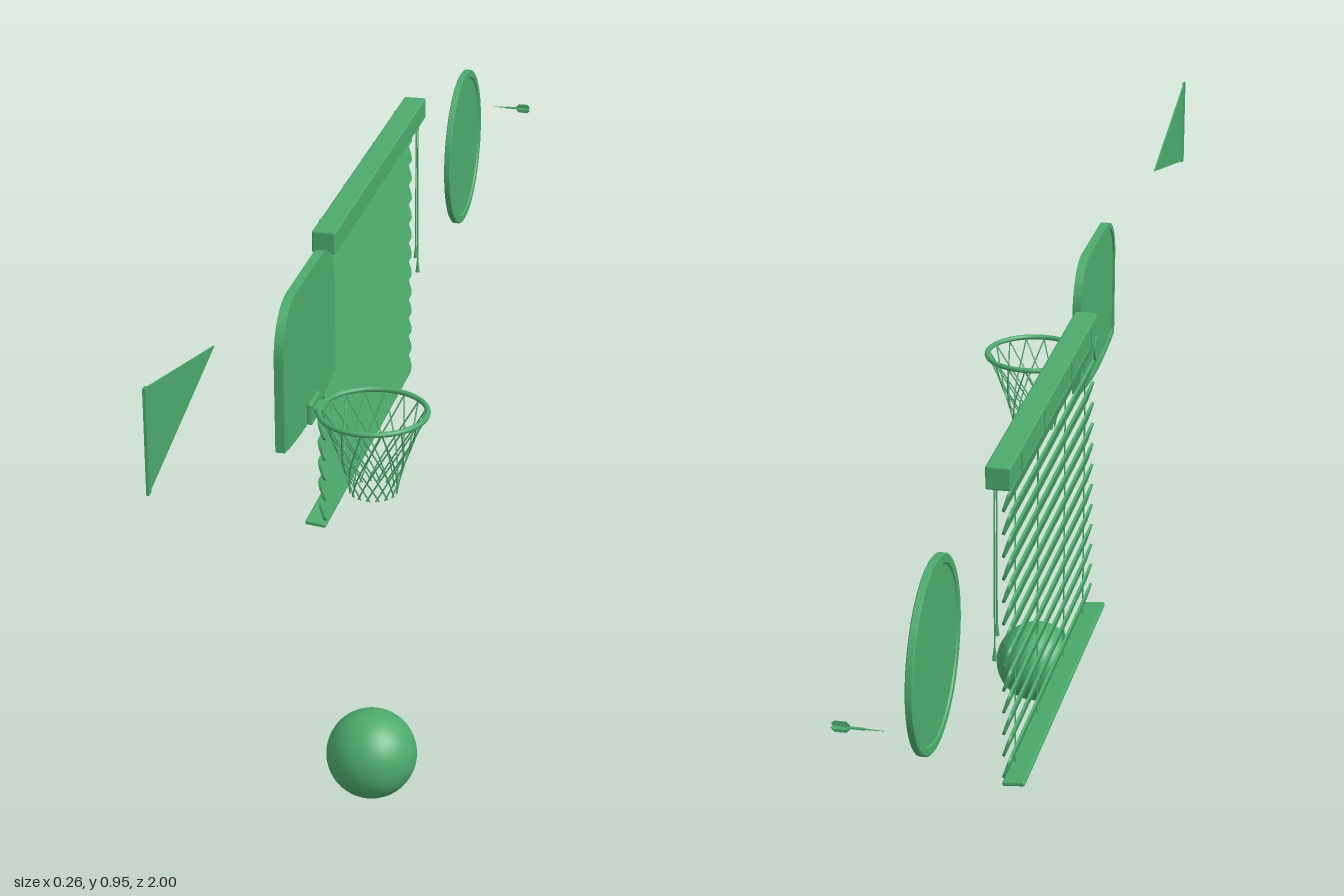
import * as THREE from 'three';
import { RoundedBoxGeometry } from 'three/addons/geometries/RoundedBoxGeometry.js';

const mat = new THREE.MeshStandardMaterial({ color: 0x4caa6c, side: THREE.DoubleSide });

function add(parent, name, geometry, x = 0, y = 0, z = 0) {
  const mesh = new THREE.Mesh(geometry, mat);
  mesh.name = name;
  mesh.position.set(x, y, z);
  parent.add(mesh);
  return mesh;
}

function group(parent, name, x = 0, y = 0, z = 0) {
  const g = new THREE.Group();
  g.name = name;
  g.position.set(x, y, z);
  parent.add(g);
  return g;
}

// Plate standing in the z-y plane, shape x running towards -z, centred in thickness
function plate(shape, thickness) {
  return new THREE.ExtrudeGeometry(shape, { depth: thickness, bevelEnabled: false, curveSegments: 10 })
    .translate(0, 0, -thickness / 2).rotateY(Math.PI / 2);
}

// Backboard outline: square sides, large top corners, gently bowed bottom
function boardShape(inset) {
  const w = 0.15 - inset, top = 0.86 - inset, low = 0.643 + inset, r = 0.075 - inset;
  const s = new THREE.Shape();
  s.moveTo(-w, low);
  s.quadraticCurveTo(0, low - 0.028, w, low);
  s.lineTo(w, top - r);
  s.absarc(w - r, top - r, r, 0, Math.PI / 2);
  s.absarc(-w + r, top - r, r, Math.PI / 2, Math.PI);
  s.closePath();
  return s;
}

function roundedRect(w, h, r) {
  const s = new THREE.Shape();
  s.absarc(w / 2 - r, h / 2 - r, r, 0, Math.PI / 2);
  s.absarc(-w / 2 + r, h / 2 - r, r, Math.PI / 2, Math.PI);
  s.absarc(-w / 2 + r, -h / 2 + r, r, Math.PI, Math.PI * 1.5);
  s.absarc(w / 2 - r, -h / 2 + r, r, Math.PI * 1.5, Math.PI * 2);
  s.closePath();
  return s;
}

function buildPennant(root) {
  const g = group(root, 'pennant', -0.1);
  const s = new THREE.Shape([[-1, 0.805], [-0.69, 0.88], [-1, 0.954]].map(p => new THREE.Vector2(...p)));
  add(g, 'pennantCloth', plate(s, 0.002));
  add(g, 'pennantHem', new THREE.BoxGeometry(0.004, 0.148, 0.01), 0, 0.8795, 0.995);
}

function buildHoop(root) {
  const z = 0.368;
  const g = group(root, 'basketballHoop', 0, 0, z);
  // Board with a raised border on its back
  add(g, 'backboard', plate(boardShape(0), 0.011), -0.0565);
  const border = boardShape(0);
  border.holes.push(new THREE.Path(boardShape(0.009).getPoints(10)));
  add(g, 'backboardBorder', plate(border, 0.003), -0.0635);
  add(g, 'mountCap', new THREE.CylinderGeometry(0.022, 0.022, 0.004, 24).rotateZ(Math.PI / 2), -0.063, 0.67);
  add(g, 'bracketPlate', new RoundedBoxGeometry(0.009, 0.034, 0.05, 2, 0.003), -0.047, 0.647);
  add(g, 'bracketArm', new THREE.BoxGeometry(0.02, 0.007, 0.036), -0.038, 0.65);

  const hoop = group(g, 'rimAndNet', 0.043, 0, 0);
  add(hoop, 'rim', new THREE.TorusGeometry(0.08, 0.0042, 10, 48).rotateX(Math.PI / 2), 0, 0.65);

  // Net: two mirrored families of spiralling strands on a flared profile
  const strands = 16, steps = 14;
  const radius = t => 0.035 + 0.043 * Math.pow(1 - t, 1.35);
  for (const dir of [-1, 1]) {
    for (let i = 0; i < strands; i++) {
      const pts = [];
      for (let k = 0; k <= steps; k++) {
        const t = k / steps;
        const a = (i / strands) * Math.PI * 2 + dir * (0.5 * t + 0.75 * t * t);
        pts.push(new THREE.Vector3(Math.cos(a) * radius(t), 0.648 - 0.128 * t, Math.sin(a) * radius(t)));
      }
      add(hoop, 'netStrand', new THREE.TubeGeometry(new THREE.CatmullRomCurve3(pts), 18, 0.0012, 5));
    }
  }
  add(root, 'ball', new THREE.SphereGeometry(0.07, 40, 28), 0.039, 0.071, 0.371);
}

function buildBlind(root) {
  const mid = -0.2, x = -0.1025;
  const g = group(root, 'windowBlind', 0, 0, mid);
  add(g, 'headRail', new RoundedBoxGeometry(0.037, 0.036, 0.64, 2, 0.003), -0.093, 0.806);

  // Tilted slats
  const slat = plate(roundedRect(0.624, 0.038, 0.012), 0.004);
  for (let i = 0; i < 13; i++) {
    add(g, 'slat', slat, x, 0.767 - i * 0.0354).rotation.z = 0.3;
  }
  const rail = add(g, 'bottomRail', new RoundedBoxGeometry(0.034, 0.008, 0.624, 2, 0.003), -0.1135, 0.3195);
  rail.rotation.z = -0.1;

  // Ladder cords and the clips behind the head rail
  for (const z of [0.064, -0.093, -0.293, -0.45]) {
    add(g, 'ladderCord', new THREE.CylinderGeometry(0.0013, 0.0013, 0.47, 6), x, 0.555, z - mid);
    add(g, 'railClip', new THREE.BoxGeometry(0.003, 0.03, 0.005), -0.112, 0.806, z - mid);
  }

  // Pull cords with tassels
  for (const [z, end] of [[-0.483, 0.545], [-0.498, 0.512]]) {
    add(g, 'pullCord', new THREE.CylinderGeometry(0.0013, 0.0013, 0.79 - end, 6), -0.083, (0.79 + end) / 2, z - mid);
    add(g, 'tassel', new THREE.CylinderGeometry(0.0015, 0.0038, 0.02, 10), -0.083, end + 0.01, z - mid);
  }
}

function buildDartboard(root) {
  // Disc with a raised rim on both faces
  const profile = [[0, -0.003], [0.123, -0.003], [0.125, -0.0055], [0.136, -0.0055], [0.138, -0.004],
    [0.138, 0.004], [0.136, 0.0055], [0.125, 0.0055], [0.123, 0.003], [0, 0.003]];
  // Repeated points keep the profile corners crisp
  const pts = profile.flatMap(([r, h]) => [new THREE.Vector2(r, h), new THREE.Vector2(r, h)]).slice(1, -1);
  const crisp = new THREE.Group();
  crisp.name = 'dartboard';
  crisp.position.set(-0.0595, 0.65, -0.766);
  root.add(crisp);
  for (let i = 0; i < pts.length; i += 2) {
    add(crisp, 'dartboardBand', new THREE.LatheGeometry([pts[i], pts[i + 1]], 64).rotateZ(-Math.PI / 2));
  }
}

function buildDart(root) {
  // Point towards -x, flights towards +x
  const g = group(root, 'dart', 0, 0.65, -0.992);
  const rod = (name, r0, r1, x0, x1) =>
    add(g, name, new THREE.CylinderGeometry(r1, r0, x1 - x0, 10).rotateZ(-Math.PI / 2), (x0 + x1) / 2);
  rod('dartPoint', 0.0003, 0.001, -0.05, -0.025);
  rod('dartBarrel', 0.0018, 0.0018, -0.025, -0.005);
  rod('dartShaft', 0.0011, 0.0011, -0.005, 0.018);
  const fin = new THREE.Shape([[-0.008, 0], [0, 0.008], [0.016, 0.008], [0.02, 0.004], [0.018, 0]]
    .map(p => new THREE.Vector2(...p)));
  const finGeo = new THREE.ExtrudeGeometry(fin, { depth: 0.0008, bevelEnabled: false }).translate(0, 0, -0.0004);
  for (let i = 0; i < 4; i++) add(g, 'dartFlight', finGeo).rotation.x = i * Math.PI / 2;
}

export function createModel() {
  const root = new THREE.Group();
  root.name = 'sportsRoomSet';
  buildPennant(root);
  buildHoop(root);
  buildBlind(root);
  buildDartboard(root);
  buildDart(root);
  return root;
}
